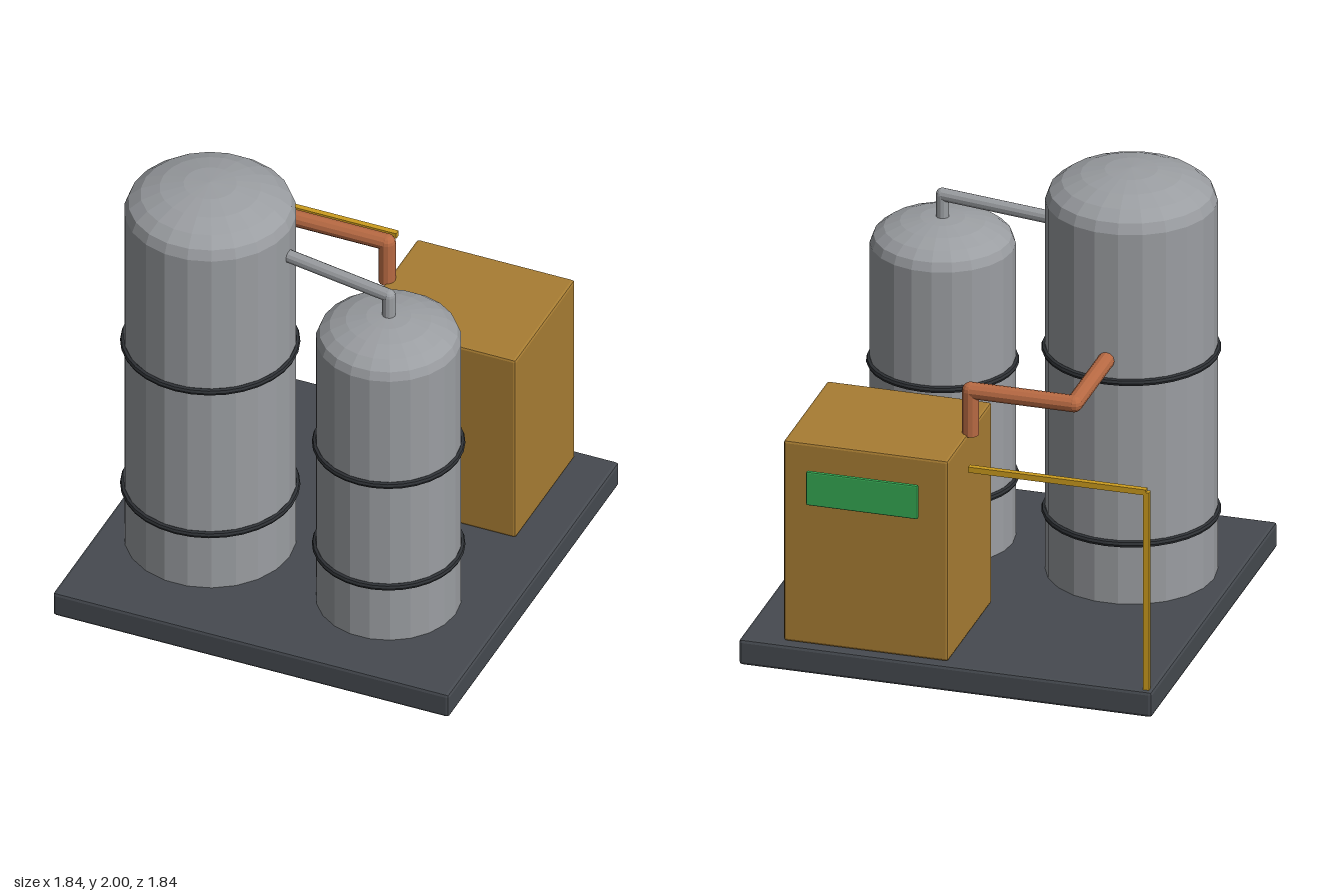
import * as THREE from 'three';
import { RoundedBoxGeometry } from 'three/addons/geometries/RoundedBoxGeometry.js';

function material(name, color) {
  const m = new THREE.MeshStandardMaterial({ color, flatShading: true });
  m.name = name;
  return m;
}

export function createModel() {
  const steel = material('steel', 0x9b9ea2);
  const charcoal = material('charcoal', 0x464a50);
  const black = material('bandBlack', 0x2e3135);
  const ochre = material('ochre', 0xa87d33);
  const copper = material('copper', 0xb86a43);
  const yellow = material('safetyYellow', 0xcc9c1e);
  const green = material('screenGreen', 0x35a853);

  const model = new THREE.Group();
  model.name = 'processSkid';

  const add = (parent, name, geometry, mat) => {
    const mesh = new THREE.Mesh(geometry, mat);
    mesh.name = name;
    parent.add(mesh);
    return mesh;
  };

  // Box given by its min and max corners, with an optional bevel
  const box = (parent, name, min, max, mat, bevel = 0) => {
    const s = max.map((v, i) => v - min[i]);
    const geo = bevel ? new RoundedBoxGeometry(...s, 1, bevel) : new THREE.BoxGeometry(...s);
    const mesh = add(parent, name, geo, mat);
    mesh.position.set(...max.map((v, i) => (v + min[i]) / 2));
    return mesh;
  };

  // Straight pipe runs with ball elbows at the inner points
  const pipe = (name, points, radius, mat) => {
    const group = new THREE.Group();
    group.name = name;
    const pts = points.map((p) => new THREE.Vector3(...p));
    for (let i = 0; i < pts.length - 1; i++) {
      const dir = pts[i + 1].clone().sub(pts[i]);
      const run = add(group, 'pipeRun', new THREE.CylinderGeometry(radius, radius, dir.length(), 12), mat);
      run.position.copy(pts[i]).addScaledVector(dir, 0.5);
      run.quaternion.setFromUnitVectors(new THREE.Vector3(0, 1, 0), dir.normalize());
      if (i > 0) {
        add(group, 'pipeElbow', new THREE.SphereGeometry(radius, 12, 8), mat).position.copy(pts[i]);
      }
    }
    model.add(group);
  };

  // Upright vessel with an elliptical dome and two dark bands
  const tank = (name, x, z, radius, shoulder, top, bands) => {
    const group = new THREE.Group();
    group.name = name;
    group.position.set(x, 0, z);
    group.rotation.y = Math.PI / 2;
    const profile = [new THREE.Vector2(0, 0.115), new THREE.Vector2(radius, 0.115)];
    const steps = 5;
    for (let i = 0; i <= steps; i++) {
      const a = (i / steps) * Math.PI / 2;
      profile.push(new THREE.Vector2(
        i === steps ? 0 : radius * Math.cos(a),
        shoulder + (top - shoulder) * Math.sin(a)
      ));
    }
    add(group, 'tankShell', new THREE.LatheGeometry(profile, 22), steel);
    for (const y of bands) {
      const ring = add(group, 'tankBand', new THREE.TorusGeometry(radius, 0.016, 8, 32), black);
      ring.rotation.x = Math.PI / 2;
      ring.position.y = y;
    }
    model.add(group);
  };

  // Base plate
  box(model, 'basePlate', [-0.92, 0, -0.9], [0.92, 0.12, 0.92], charcoal, 0.015);

  // Tanks
  tank('tallTank', -0.465, 0.283, 0.368, 1.85, 2.0, [0.403, 1.16]);
  tank('shortTank', 0.403, 0.374, 0.311, 1.49, 1.617, [0.403, 0.942]);

  // Pipes
  pipe('steelPipe', [[-0.13, 1.716, 0.278], [0.403, 1.716, 0.371], [0.403, 1.59, 0.371]], 0.029, steel);
  pipe('copperPipe', [[-0.465, 1.256, -0.05], [-0.465, 1.256, -0.542],
    [-0.003, 1.256, -0.542], [-0.003, 1.05, -0.542]], 0.037, copper);

  // Control cabinet with the display panel behind it
  box(model, 'cabinet', [0.0, 0.12, -0.857], [0.733, 1.06, -0.222], ochre, 0.012);
  box(model, 'displayPanel', [0.116, 0.8, -0.922], [0.613, 0.957, -0.902], green, 0.006);

  // Guard rail
  const rail = new THREE.Group();
  rail.name = 'guardRail';
  box(rail, 'railPost', [-0.902, 0.115, -0.88], [-0.876, 1.045, -0.854], yellow);
  box(rail, 'railBar', [-0.888, 1.032, -0.88], [-0.097, 1.058, -0.854], yellow);
  model.add(rail);

  return model;
}
